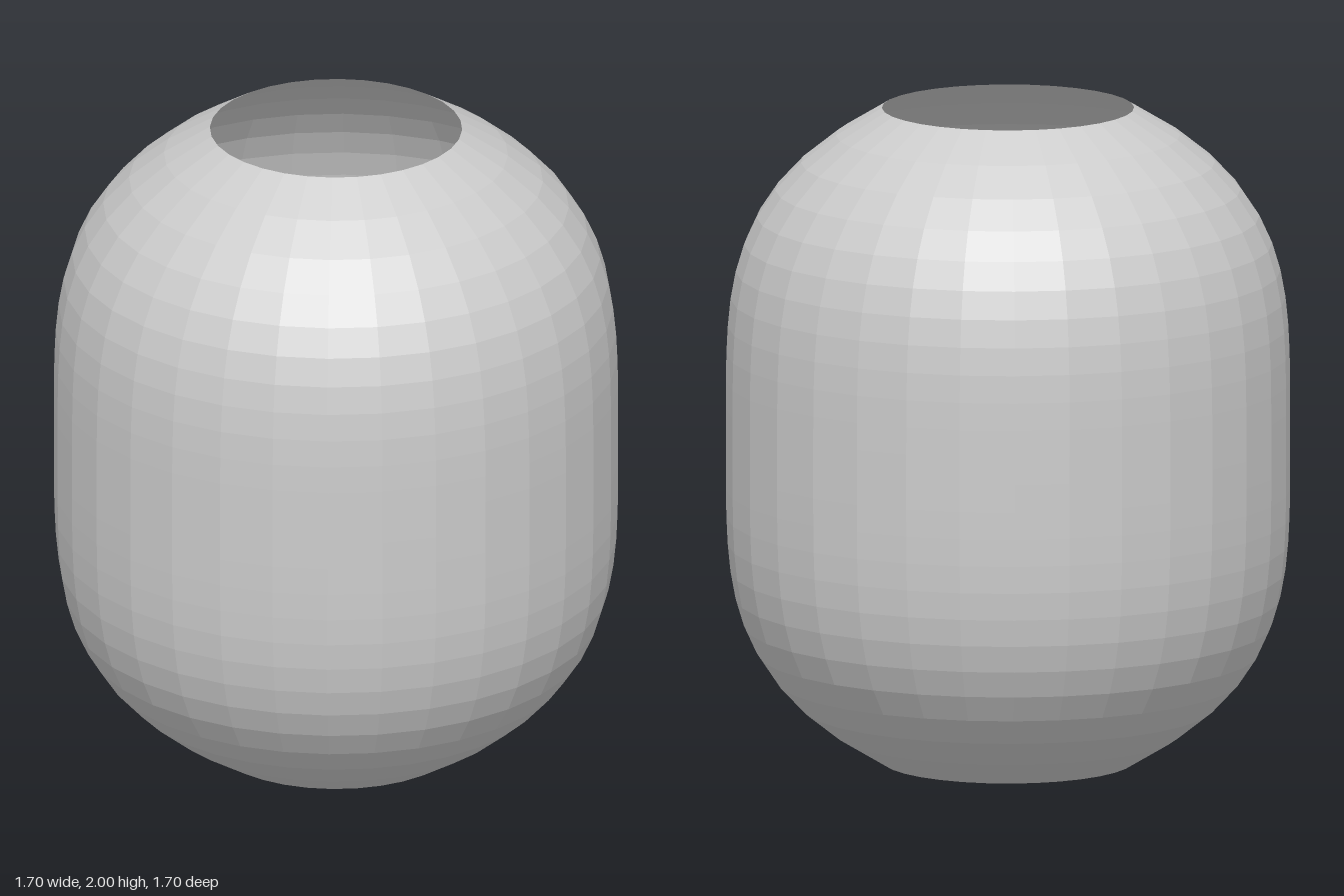
import * as THREE from 'three';

const SIDES = 32, ROWS = 24;
const RIM = 0.38, BELLY = 0.85;

export function createModel() {
  const group = new THREE.Group();
  group.name = 'lantern';

  // Barrel profile: narrow rims at both ends, nearly straight belly
  const profile = [];
  for (let i = 0; i <= ROWS; i++) {
    const y = (2 * i) / ROWS;
    const t = Math.abs(y - 1);
    profile.push(new THREE.Vector2(RIM + (BELLY - RIM) * (1 - t ** 4), y));
  }

  // Thin faceted shell, open at top and bottom
  const shell = new THREE.Mesh(
    new THREE.LatheGeometry(profile, SIDES),
    new THREE.MeshStandardMaterial({ color: 0xcccccc, flatShading: true, side: THREE.DoubleSide })
  );
  shell.name = 'lanternShell';
  group.add(shell);
  return group;
}
